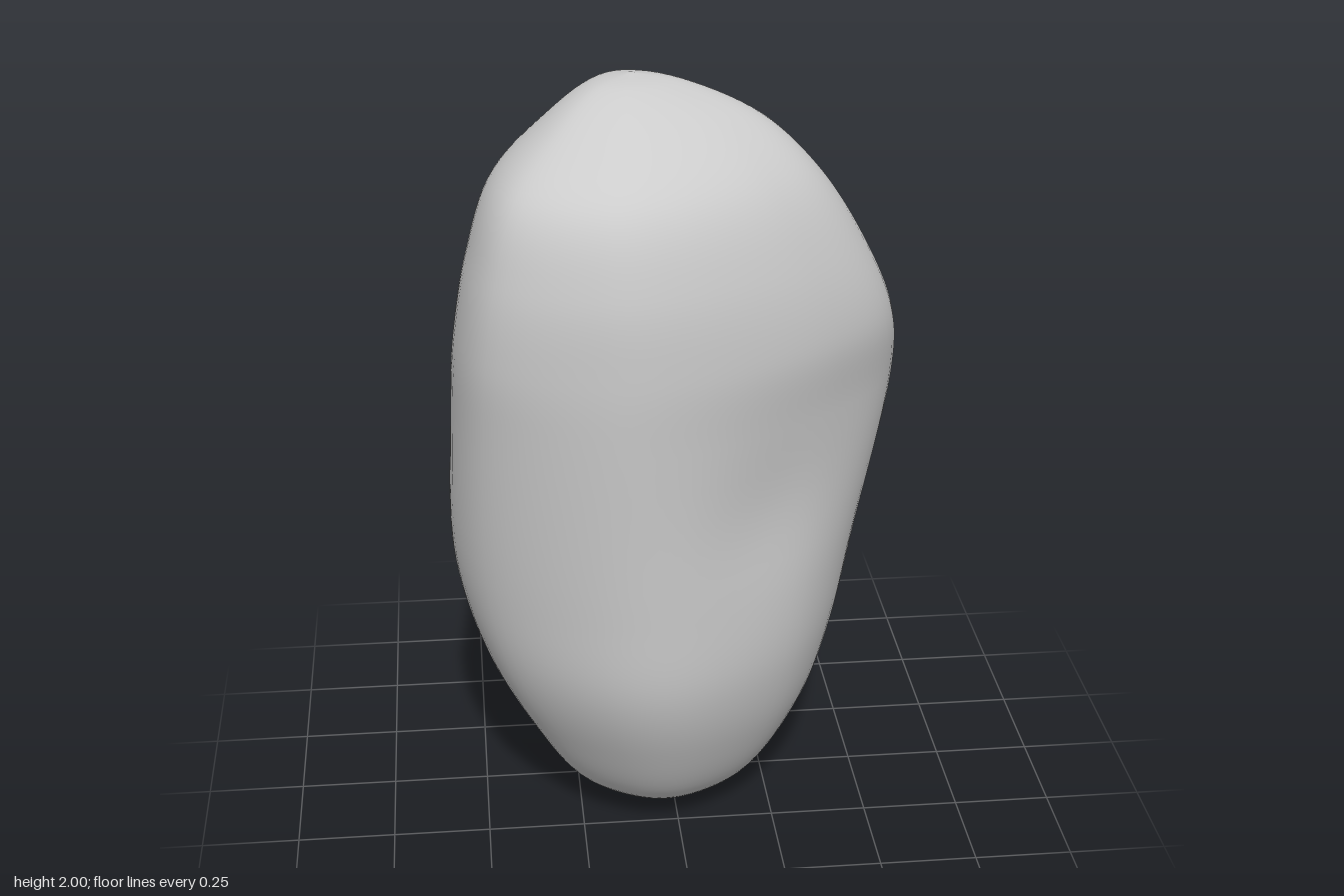
import * as THREE from 'three';
import { mergeVertices } from 'three/addons/utils/BufferGeometryUtils.js';

const RINGS = 90, SEGMENTS = 84;

// Rounded-triangle outlines in a unit box (x, z), from +x towards the front.
const lowOutline = [[1, 0.06], [0.72, 0.63], [0.08, 0.98], [-0.36, 0.95], [-0.87, 0.59],
  [-1, 0.02], [-0.7, -0.56], [-0.32, -0.95], [0.08, -1], [0.72, -0.62]];
const highOutline = [[1, 0.02], [0.67, 0.53], [0.05, 0.94], [-0.38, 1], [-0.9, 0.68],
  [-1, 0], [-0.74, -0.68], [-0.39, -0.96], [0, -0.97], [0.6, -0.66]];

// Extent of the stone at each height: y, right x, left x, back z, front z.
const extents = [
  [0, 0, 0, -0.01, -0.01],
  [0.015, -0.17, 0.16, -0.17, 0.15],
  [0.1, -0.28, 0.25, -0.27, 0.29],
  [0.3, -0.405, 0.365, -0.41, 0.415],
  [0.5, -0.5, 0.43, -0.52, 0.49],
  [0.75, -0.56, 0.48, -0.545, 0.515],
  [1.2, -0.55, 0.56, -0.475, 0.54],
  [1.4, -0.535, 0.54, -0.33, 0.55],
  [1.6, -0.5, 0.455, -0.245, 0.54],
  [1.78, -0.44, 0.34, -0.16, 0.48],
  [1.9, -0.32, 0.21, -0.07, 0.33],
  [1.98, -0.2, 0.02, 0.01, 0.18],
  [2, -0.1, -0.1, 0.09, 0.09],
];

// Shallow hollows: centre, radius and the share of the width they take away.
const hollows = [
  { at: new THREE.Vector3(0.22, 0.97, 0.4), radius: 0.2, depth: 0.05 },
  { at: new THREE.Vector3(-0.45, 1.1, -0.2), radius: 0.19, depth: 0.08 },
  { at: new THREE.Vector3(0.1, 1.4, -0.34), radius: 0.14, depth: 0.13 },
];

// Spline up the stone through the k-th corner of every section.
function spoke(k) {
  return new THREE.CatmullRomCurve3(extents.map(([y, x0, x1, z0, z1]) => {
    const blend = THREE.MathUtils.smoothstep(y, 0.6, 1.3);
    const u = THREE.MathUtils.lerp(lowOutline[k][0], highOutline[k][0], blend);
    const v = THREE.MathUtils.lerp(lowOutline[k][1], highOutline[k][1], blend);
    return new THREE.Vector3((x0 + x1 + u * (x1 - x0)) / 2, y, (z0 + z1 + v * (z1 - z0)) / 2);
  }));
}

function pressHollows(p) {
  let keep = 1;
  for (const { at, radius, depth } of hollows) {
    keep -= depth * Math.exp(-p.distanceToSquared(at) / (radius * radius));
  }
  p.x *= keep;
  p.z *= keep;
}

// Skin of closed splines, one around each height.
function boulderGeometry() {
  const spokes = lowOutline.map((_, k) => spoke(k));
  const positions = [], index = [];
  for (let j = 0; j <= RINGS; j++) {
    const ring = new THREE.CatmullRomCurve3(spokes.map((s) => s.getPoint(j / RINGS)), true);
    for (let i = 0; i < SEGMENTS; i++) {
      const p = ring.getPoint(i / SEGMENTS);
      pressHollows(p);
      positions.push(p.x, Math.max(p.y, 0), p.z);
      if (j === RINGS) continue;
      const a = j * SEGMENTS + i, b = j * SEGMENTS + ((i + 1) % SEGMENTS);
      index.push(a, a + SEGMENTS, b, b, a + SEGMENTS, b + SEGMENTS);
    }
  }
  const geometry = new THREE.BufferGeometry();
  geometry.setAttribute('position', new THREE.Float32BufferAttribute(positions, 3));
  geometry.setIndex(index);
  const merged = mergeVertices(geometry, 1e-5);
  merged.computeVertexNormals();
  return merged;
}

export function createModel() {
  const group = new THREE.Group();
  group.name = 'rock';
  const boulder = new THREE.Mesh(boulderGeometry(), new THREE.MeshStandardMaterial({ color: 0xcccccc }));
  boulder.name = 'boulder';
  group.add(boulder);
  return group;
}
